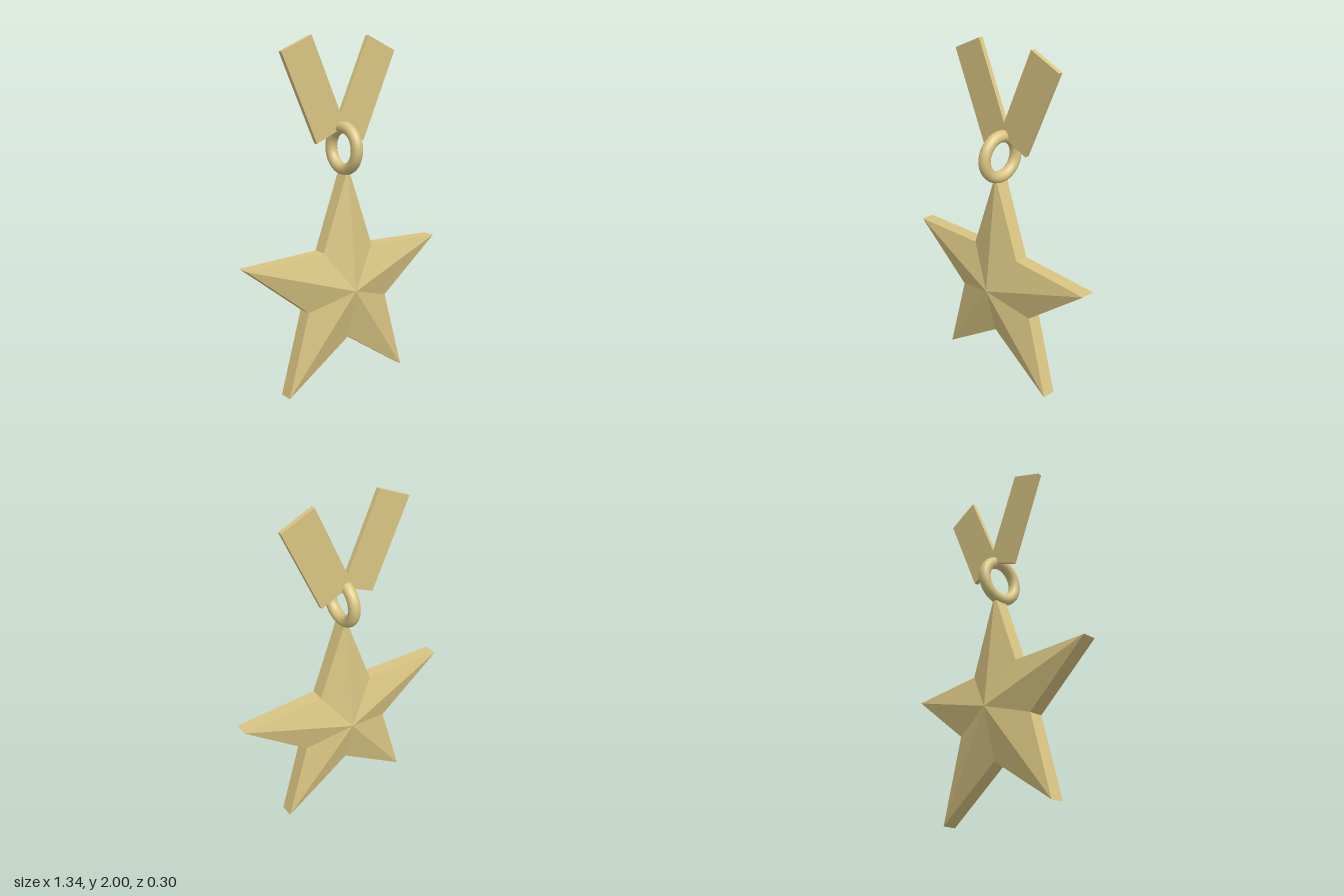
import * as THREE from 'three';

const CENTER_Y = 0.572;
const OUTER = 0.705;
const INNER = 0.293;
const RIM = 0.04;   // half thickness at the edge
const PEAK = 0.115; // half thickness at the centre

// Faceted five-pointed star: two shallow pyramids joined by a flat rim
function starGeometry() {
  const outline = [];
  for (let i = 0; i < 10; i++) {
    const r = i % 2 ? INNER : OUTER;
    const a = Math.PI / 2 + (i * Math.PI) / 5;
    outline.push([r * Math.cos(a), r * Math.sin(a)]);
  }
  const pos = [];
  outline.forEach(([ax, ay], i) => {
    const [bx, by] = outline[(i + 1) % 10];
    pos.push(0, 0, PEAK, ax, ay, RIM, bx, by, RIM);      // front facet
    pos.push(0, 0, -PEAK, bx, by, -RIM, ax, ay, -RIM);   // back facet
    pos.push(ax, ay, RIM, ax, ay, -RIM, bx, by, -RIM);   // rim
    pos.push(ax, ay, RIM, bx, by, -RIM, bx, by, RIM);
  });
  const g = new THREE.BufferGeometry();
  g.setAttribute('position', new THREE.Float32BufferAttribute(pos, 3));
  g.computeVertexNormals();
  return g;
}

// V-shaped ribbon: right half of the outline, mirrored for the left
function ribbonGeometry() {
  const half = [[0.165, 1.415], [0.39, 1.915], [0.195, 2.0]];
  const mirrored = half.map(([x, y]) => [-x, y]).reverse();
  const points = [[0, 1.487], ...half, [0, 1.57], ...mirrored];
  const shape = new THREE.Shape(points.map(([x, y]) => new THREE.Vector2(x, y)));
  const g = new THREE.ExtrudeGeometry(shape, { depth: 0.026, bevelEnabled: false });
  g.translate(0, 0, -0.053);
  return g;
}

export function createModel() {
  const gold = new THREE.MeshStandardMaterial({ color: 0xd8c482 });
  gold.name = 'pale gold';

  const model = new THREE.Group();
  model.name = 'starMedal';
  const add = (name, geometry) => {
    const mesh = new THREE.Mesh(geometry, gold);
    mesh.name = name;
    model.add(mesh);
    return mesh;
  };

  add('star', starGeometry()).position.y = CENTER_Y;

  // Hanging ring, seen edge-on from the front
  const ring = add('ring', new THREE.TorusGeometry(0.117, 0.034, 20, 48));
  ring.rotation.y = Math.PI / 2;
  ring.position.y = 1.38;

  add('ribbon', ribbonGeometry());
  return model;
}
